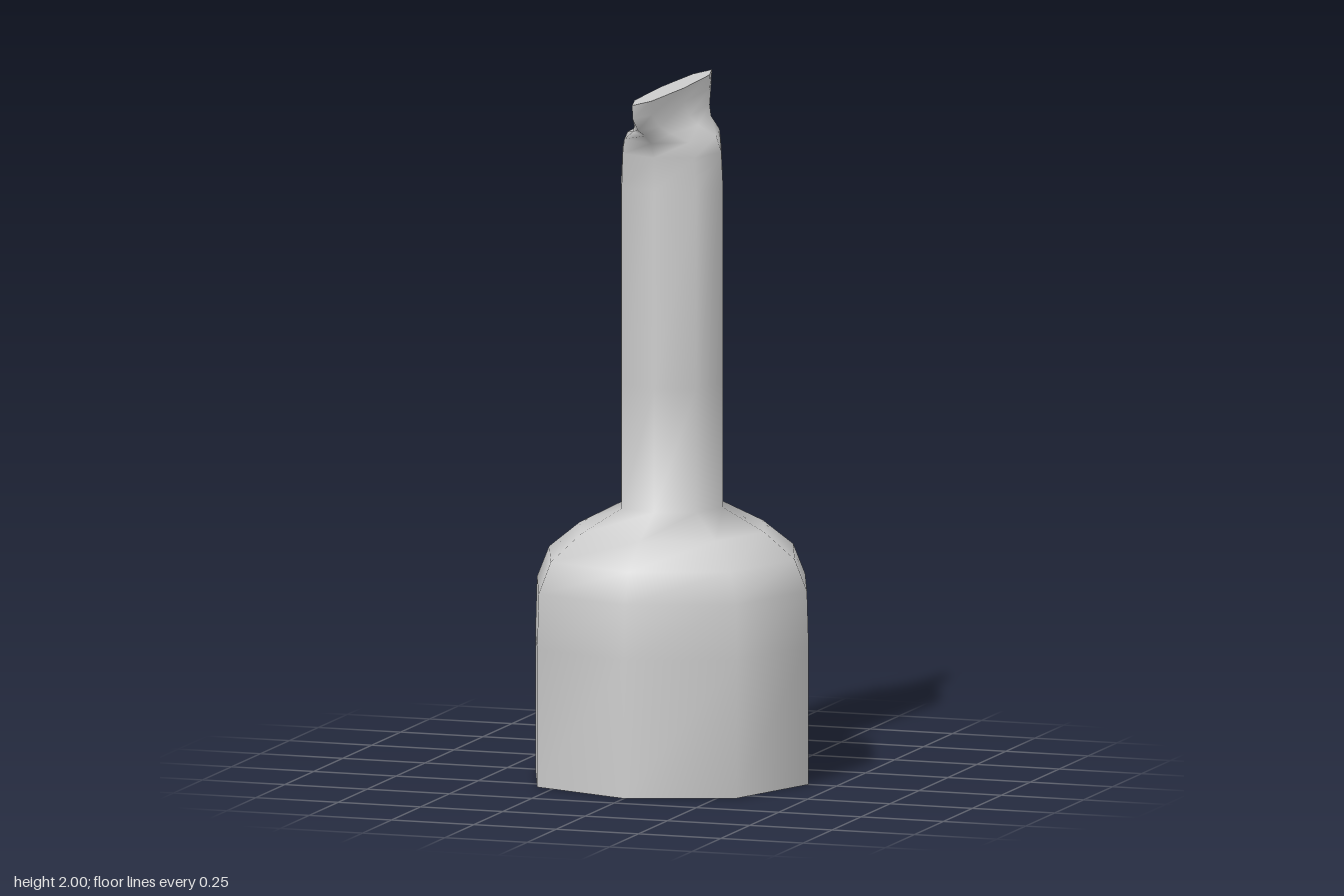
import * as THREE from 'three';

const SIDES = 8;
const DIAGONAL = 0.73; // corner offset on the diagonals, relative to the axis radius

// Cross-sections from base to lip: [height, half width in x, half width in z]
const SECTIONS = [
  [0, 0.415, 0.415],
  [0.4, 0.415, 0.415],
  [0.56, 0.41, 0.41],
  [0.65, 0.373, 0.373],
  [0.725, 0.28, 0.28],
  [0.79, 0.155, 0.155],
  [1.15, 0.155, 0.155],
  [1.72, 0.155, 0.155],
  [1.82, 0.15, 0.158],
  [1.865, 0.135, 0.18],
  [1.895, 0.08, 0.235],
  [1.92, 0.053, 0.295],
  [1.96, 0.037, 0.34],
  [2.0, 0.035, 0.345],
];

// One eight-cornered ring, stretched in x and z
function ring([y, rx, rz]) {
  const points = [];
  for (let i = 0; i < SIDES; i++) {
    const a = (i / SIDES) * Math.PI * 2;
    const k = i % 2 ? DIAGONAL / Math.SQRT1_2 : 1;
    points.push(Math.sin(a) * rx * k, y, Math.cos(a) * rz * k);
  }
  return points;
}

function buildGeometry(positions, indices) {
  const geometry = new THREE.BufferGeometry();
  geometry.setAttribute('position', new THREE.Float32BufferAttribute(positions, 3));
  geometry.setIndex(indices);
  geometry.computeVertexNormals();
  return geometry;
}

export function createModel() {
  const group = new THREE.Group();
  group.name = 'bottle';
  const grey = new THREE.MeshStandardMaterial({ color: 0xcccccc, side: THREE.DoubleSide });
  grey.name = 'light grey';

  // Smooth shell: open base, rounded shoulder, neck and pinched flaring lip
  const indices = [];
  for (let r = 0; r < SECTIONS.length - 1; r++) {
    for (let i = 0; i < SIDES; i++) {
      const j = (i + 1) % SIDES;
      const a = r * SIDES + i, b = r * SIDES + j;
      indices.push(a, b, b + SIDES, a, b + SIDES, a + SIDES);
    }
  }
  const shell = new THREE.Mesh(buildGeometry(SECTIONS.flatMap(ring), indices), grey);
  shell.name = 'bottleShell';
  group.add(shell);

  // Narrow flat face closing the pinched lip
  const top = SECTIONS[SECTIONS.length - 1];
  const capIndices = [];
  for (let i = 0; i < SIDES; i++) capIndices.push(SIDES, i, (i + 1) % SIDES);
  const cap = new THREE.Mesh(buildGeometry([...ring(top), 0, top[0], 0], capIndices), grey);
  cap.name = 'lipCap';
  group.add(cap);

  return group;
}
